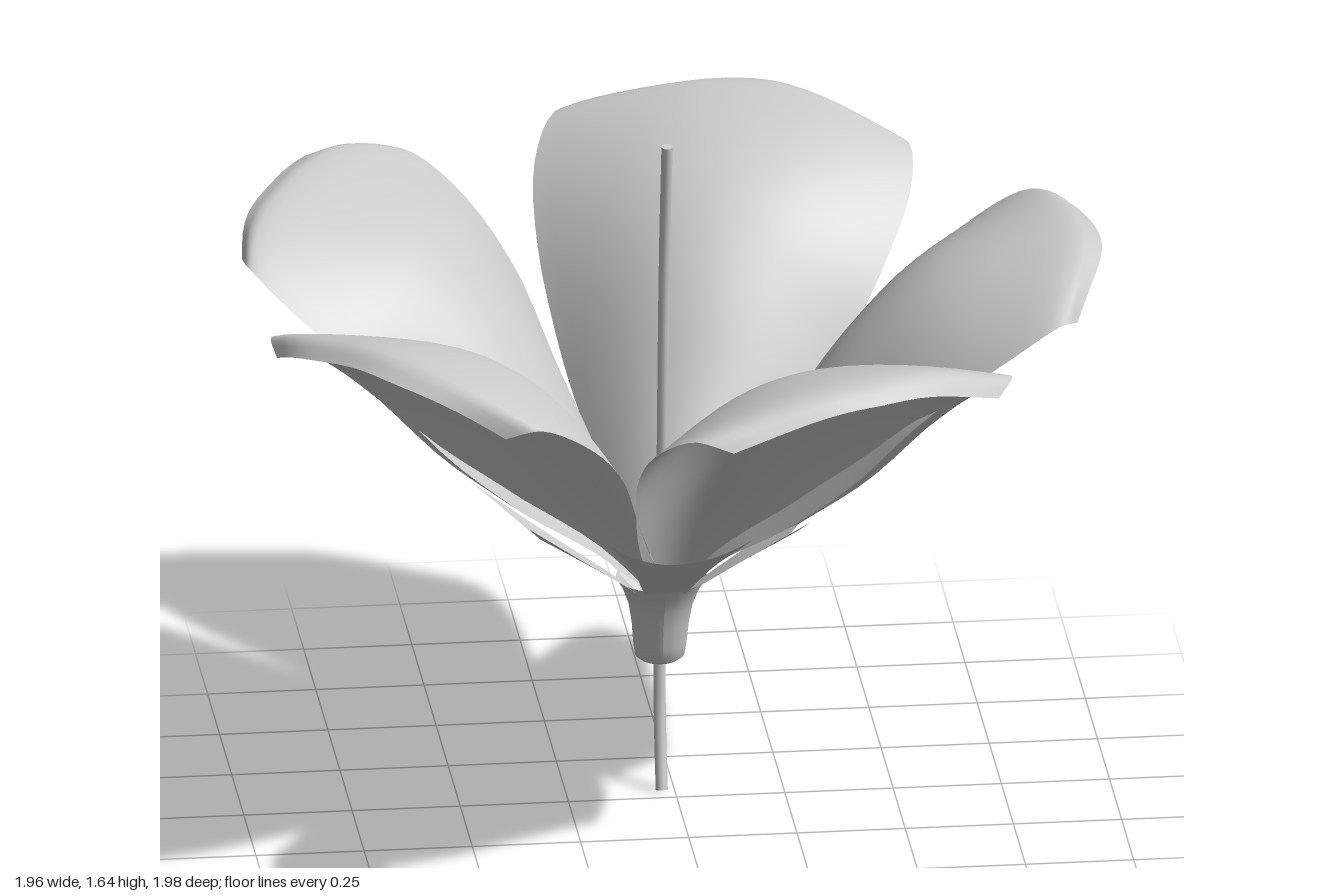
import * as THREE from 'three';

const blossom = new THREE.MeshStandardMaterial({ color: 0xcccccc, side: THREE.DoubleSide });
blossom.name = 'plain grey';

const HUB = new THREE.Vector3(-0.03, 0, -0.05);
const V = (x, y, z) => new THREE.Vector3(x, y, z);
const curve = (pts) => new THREE.CatmullRomCurve3(pts.map((p) => V(...p)));

// Bends a grid into a sheet: rule(u, t) with u across (-1..1) and t from base to rim (0..1)
function sheet(nu, nt, rule) {
  const g = new THREE.PlaneGeometry(2, 1, nu, nt);
  const p = g.attributes.position;
  for (let i = 0; i < p.count; i++) {
    const q = rule(p.getX(i), p.getY(i) + 0.5);
    p.setXYZ(i, q.x, q.y, q.z);
  }
  g.computeVertexNormals();
  return g;
}

// Petal middle line, steep at first and level at the rim: distance from the hub, height, half width
const petalLine = curve([
  [0.02, 0.49, 0.02], [0.12, 0.66, 0.1], [0.27, 0.88, 0.21], [0.43, 1.1, 0.315],
  [0.61, 1.26, 0.4], [0.8, 1.34, 0.44], [0.94, 1.37, 0.415], [1.0, 1.345, 0.35],
]);
// How far the side edges fall back and droop in each row
const petalDroop = curve([
  [0, 0, 0], [0, 0.06, 0], [0, 0.16, 0], [0, 0.22, 0],
  [0.02, 0.19, 0], [0.04, 0.13, 0], [0.06, 0.09, 0], [0.07, 0.08, 0],
]);

function petalGeometry(length, rim, phase) {
  return sheet(20, 28, (u, t) => {
    const a = petalLine.getPoint(t);
    const b = petalDroop.getPoint(t);
    const ripple = 0.008 * t * t * Math.sin(u * 5 + phase);
    return V(
      (a.x - b.x * u * u) * length + ripple,
      a.y - b.y * u * u + (rim - 1.37) * t * t + ripple * Math.abs(u),
      a.z * u,
    );
  });
}

// Sepals end in two raised horns with a dip between
const sepalLine = curve([
  [0.03, 0.475, 0.03], [0.12, 0.545, 0.06], [0.22, 0.615, 0.095], [0.32, 0.685, 0.165],
]);
function sepalGeometry() {
  return sheet(12, 10, (u, t) => {
    const a = sepalLine.getPoint(t);
    const horn = u * u * t * t;
    return V(a.x + 0.09 * horn, a.y + 0.09 * horn, a.z * u);
  });
}

export function createModel() {
  const model = new THREE.Group();
  model.name = 'flower';
  const add = (name, geometry) => {
    const mesh = new THREE.Mesh(geometry, blossom);
    mesh.name = name;
    model.add(mesh);
    return mesh;
  };

  // Five petals, with sepals set towards the gaps between: angle, length, top height
  const ring = [
    [1, 1.005, 1.375], [67, 1.03, 1.34], [139, 0.985, 1.345],
    [211, 0.965, 1.395], [287.5, 0.955, 1.41],
  ];
  ring.forEach(([angle, length, rim], i) => {
    const petal = add('petal' + (i + 1), petalGeometry(length, rim, i * 1.7));
    const sepal = add('sepal' + (i + 1), sepalGeometry());
    petal.rotation.y = -THREE.MathUtils.degToRad(angle);
    sepal.rotation.y = -THREE.MathUtils.degToRad(angle + 23);
    petal.position.copy(HUB);
    sepal.position.copy(HUB);
  });

  // Flared cup under the petals, leaning slightly with the stem
  const cupProfile = [
    [0, 0.315], [0.045, 0.315], [0.057, 0.325], [0.062, 0.36], [0.066, 0.41],
    [0.074, 0.46], [0.088, 0.5], [0.105, 0.53],
  ].map(([r, y]) => new THREE.Vector2(r, y));
  const cup = new THREE.LatheGeometry(cupProfile, 24);
  const p = cup.attributes.position;
  for (let i = 0; i < p.count; i++) p.setZ(i, p.getZ(i) + (p.getY(i) - 0.54) * 0.16);
  cup.computeVertexNormals();
  add('calyx', cup).position.copy(HUB);

  // Small knob where the pistil leaves the petals
  const knob = add('ovary', new THREE.SphereGeometry(0.037, 16, 12));
  knob.position.set(-0.03, 0.55, -0.035);

  // Curved stalk below and pistil above, with closed ends
  const rod = (name, pts, radius) => {
    const path = curve(pts);
    add(name, new THREE.TubeGeometry(path, 20, radius, 10));
    for (const t of [0, 1]) {
      const cap = add(name + 'End', new THREE.CircleGeometry(radius, 10));
      cap.position.copy(path.getPoint(t));
      const out = path.getTangent(t).multiplyScalar(t ? 1 : -1);
      cap.quaternion.setFromUnitVectors(V(0, 0, 1), out);
    }
  };
  rod('stem', [[-0.03, 0.005, -0.04], [-0.03, 0.1, -0.066], [-0.03, 0.2, -0.083], [-0.03, 0.33, -0.09]], 0.014);
  rod('pistil', [[-0.03, 0.5, -0.045], [-0.03, 0.9, -0.025], [-0.03, 1.37, 0.02], [-0.03, 1.64, 0.07]], 0.013);

  return model;
}
